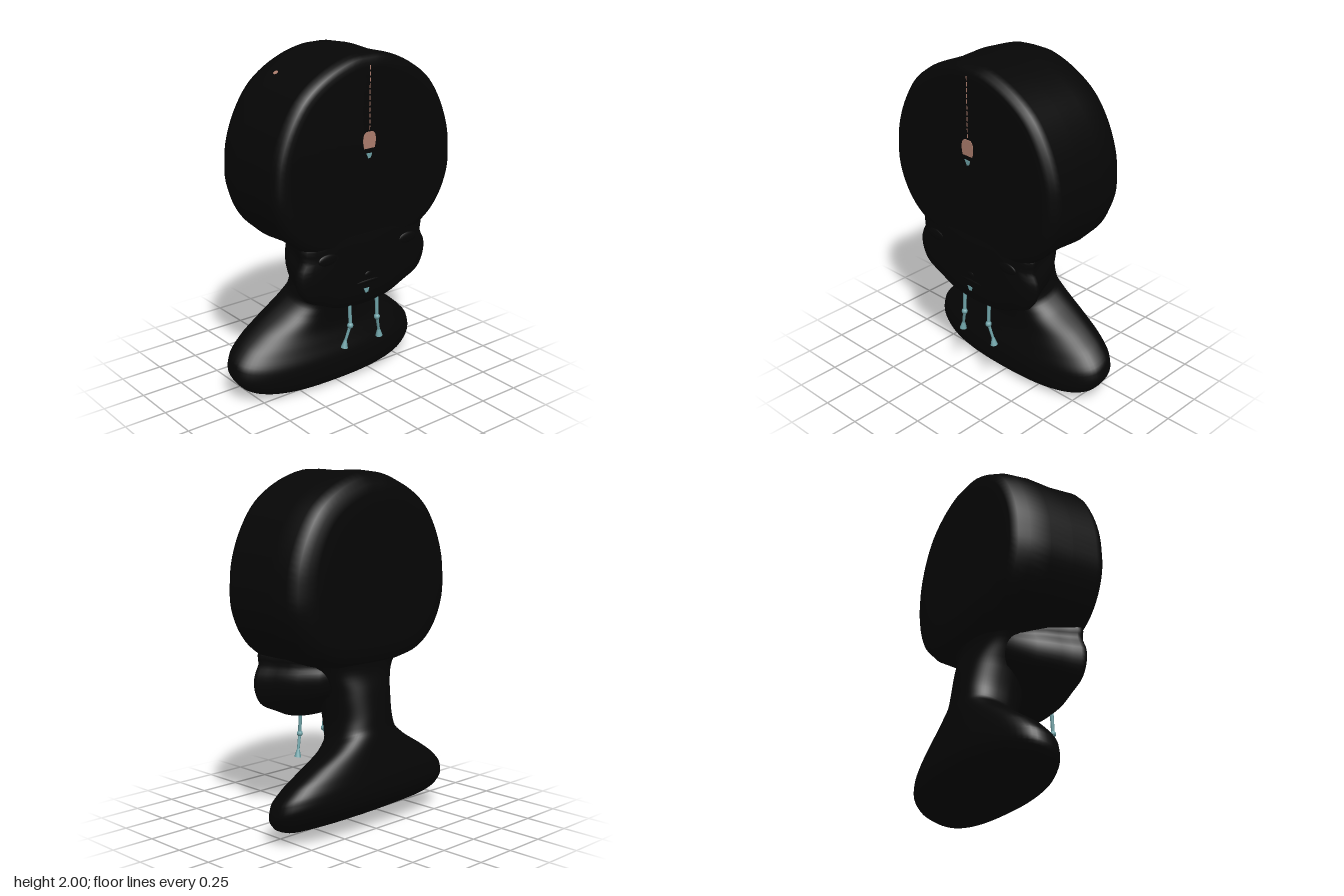
import * as THREE from 'three';

const material = (name, color, side = THREE.FrontSide) => {
  const m = new THREE.MeshStandardMaterial({ color, side });
  m.name = name;
  return m;
};

// Smooth surface over rings of equal length, each an array of [x, y, z]
function skin(rings) {
  const seg = rings[0].length, index = [];
  for (let j = 0; j < rings.length - 1; j++) {
    for (let i = 0; i < seg; i++) {
      const k = j * seg + i, n = j * seg + (i + 1) % seg;
      index.push(k, k + seg, n, n, k + seg, n + seg);
    }
  }
  const geo = new THREE.BufferGeometry();
  geo.setAttribute('position', new THREE.Float32BufferAttribute(rings.flat(2), 3));
  geo.setIndex(index);
  geo.computeVertexNormals();
  return geo;
}

// Cushion from the right half of a front outline, scaled about pivotY by stages of [z, scale]
function cushion(half, pivotY, stages) {
  const left = half.filter(p => p[0] > 0).reverse().map(([x, y]) => [-x, y]);
  const curve = new THREE.CatmullRomCurve3(
    [...half, ...left].map(([x, y]) => new THREE.Vector3(x, y, 0)), true);
  const outline = curve.getSpacedPoints(88).slice(0, -1);
  return skin(stages.map(([z, s]) => outline.map(p => [p.x * s, pivotY + (p.y - pivotY) * s, z])));
}

// Loft through tilted oval rings: [half width, front z, front y, back z, back y]
function loft(rings, seg = 64, steps = 60) {
  const side = new THREE.CatmullRomCurve3(rings.map(r => new THREE.Vector3(r[0], 0, 0)));
  const front = new THREE.CatmullRomCurve3(rings.map(r => new THREE.Vector3(0, r[2], r[1])));
  const back = new THREE.CatmullRomCurve3(rings.map(r => new THREE.Vector3(0, r[4], r[3])));
  const full = v => Math.sign(v) * Math.abs(v) ** 0.82;
  return skin(Array.from({ length: steps + 1 }, (_, j) => {
    const w = side.getPoint(j / steps).x, f = front.getPoint(j / steps), b = back.getPoint(j / steps);
    return Array.from({ length: seg }, (_, i) => {
      const a = (i / seg) * Math.PI * 2;
      const p = b.clone().lerp(f, (1 + full(Math.sin(a))) / 2);
      return [w * full(Math.cos(a)), p.y, p.z];
    });
  }));
}

export function createModel() {
  const model = new THREE.Group();
  const black = material('black', 0x060606);
  const blackTwoSided = material('black body', 0x060606, THREE.DoubleSide);
  const teal = material('teal', 0x6fa3a8);
  const pink = material('dusty pink', 0xb08070);

  const add = (name, geo, mat, x = 0, y = 0, z = 0, parent = model) => {
    const mesh = new THREE.Mesh(geo, mat);
    mesh.name = name;
    mesh.position.set(x, y, z);
    parent.add(mesh);
    return mesh;
  };
  // Rod between two points, with a radius at each end
  const rod = (name, a, b, ra, rb, mat, parent) => {
    const from = new THREE.Vector3(...a), to = new THREE.Vector3(...b);
    const mesh = add(name, new THREE.CylinderGeometry(rb, ra, from.distanceTo(to), 10), mat, 0, 0, 0, parent);
    mesh.position.lerpVectors(from, to, 0.5);
    mesh.quaternion.setFromUnitVectors(new THREE.Vector3(0, 1, 0), to.sub(from).normalize());
  };

  // Deep round head: softly rounded back, slight waist, crisper front rim
  add('head', cushion([
    [0, 2.0], [0.1, 1.995], [0.28, 1.93], [0.43, 1.825], [0.53, 1.68], [0.59, 1.52], [0.605, 1.4],
    [0.602, 1.27], [0.55, 1.13], [0.46, 1.02], [0.33, 0.95], [0, 0.92],
  ], 1.5, [
    [-0.27, 0], [-0.27, 0.6], [-0.268, 0.76], [-0.257, 0.86], [-0.23, 0.935], [-0.17, 0.98], [-0.05, 1],
    [0.1, 0.985], [0.25, 1], [0.282, 0.985], [0.304, 0.955], [0.315, 0.91], [0.316, 0.86], [0.316, 0],
  ]), black);

  // Cheeks and chin, tapering back into the neck
  add('lowerFace', cushion([
    [0, 1.08], [0.34, 1.06], [0.42, 0.99], [0.415, 0.93], [0.447, 0.86], [0.445, 0.78],
    [0.4, 0.7], [0.29, 0.645], [0.18, 0.6], [0, 0.58],
  ], 0.95, [
    [-0.14, 0], [-0.13, 0.4], [-0.08, 0.62], [0.02, 0.78], [0.08, 0.85], [0.14, 0.895], [0.2, 0.945],
    [0.24, 0.99], [0.265, 1], [0.288, 0.95], [0.304, 0.83], [0.313, 0.68], [0.317, 0.5], [0.317, 0],
  ]), black);

  // Neck flowing into the blunt shoulders, with a slanting underside
  add('neckAndShoulders', loft([
    [0.0, -0.1, 0.048, -0.11, 0.053],
    [0.25, -0.03, 0.008, -0.16, 0.08],
    [0.48, 0.02, 0.003, -0.22, 0.115],
    [0.595, 0.07, 0.04, -0.29, 0.17],
    [0.64, 0.09, 0.11, -0.32, 0.24],
    [0.625, 0.09, 0.19, -0.322, 0.3],
    [0.55, 0.065, 0.275, -0.315, 0.37],
    [0.42, 0.042, 0.36, -0.305, 0.45],
    [0.28, 0.042, 0.43, -0.295, 0.53],
    [0.2, 0.055, 0.5, -0.285, 0.59],
    [0.185, 0.085, 0.6, -0.275, 0.67],
    [0.2, 0.1, 0.74, -0.25, 0.8],
    [0.25, 0.1, 0.88, -0.215, 0.91],
    [0.33, 0.1, 1.0, -0.22, 1.02],
  ]), blackTwoSided);

  // Faint closed eyes, nose and mouth
  const bump = new THREE.SphereGeometry(1, 20, 12);
  for (const s of [-1, 1]) add('eyelid', bump, black, s * 0.28, 0.925, 0.312).scale.set(0.065, 0.032, 0.012);
  add('nose', bump, black, 0, 0.775, 0.312).scale.set(0.03, 0.02, 0.01);
  add('mouth', bump, black, 0, 0.733, 0.308).scale.set(0.1, 0.012, 0.012);

  // Forehead ornament: broken thread, oval gem and small drop
  for (let i = 0; i < 11; i++) {
    add('forelockThread', new THREE.BoxGeometry(0.005, 0.022, 0.004), pink, -0.005, 1.61 + i * 0.032, 0.316);
  }
  const gem = new THREE.Shape();
  gem.moveTo(-0.036, -0.045);
  gem.lineTo(0.034, -0.045);
  gem.bezierCurveTo(0.048, 0, 0.042, 0.045, 0.015, 0.046);
  gem.lineTo(-0.015, 0.046);
  gem.bezierCurveTo(-0.044, 0.045, -0.05, 0, -0.036, -0.045);
  add('foreheadGem', new THREE.ExtrudeGeometry(gem, { depth: 0.008, bevelEnabled: false }), pink, -0.005, 1.542, 0.311);

  const drop = new THREE.Shape();
  drop.moveTo(-0.02, 0.014);
  drop.lineTo(-0.004, -0.016);
  drop.lineTo(0.012, -0.012);
  drop.lineTo(0.02, 0.012);
  const dropGeo = new THREE.ExtrudeGeometry(drop, { depth: 0.008, bevelEnabled: false });
  add('foreheadDrop', dropGeo, teal, -0.008, 1.457, 0.311);
  add('lipDrop', dropGeo, teal, -0.012, 0.68, 0.306);

  // Small spot on the crown
  const spot = add('crownSpot', new THREE.CylinderGeometry(0.014, 0.014, 0.008, 12), pink, -0.35, 1.886, -0.04);
  spot.rotation.z = 0.6;

  // Hanging pendants under the chin
  for (const s of [-1, 1]) {
    const pendant = new THREE.Group();
    pendant.name = 'pendant';
    const x = s * 0.097;
    rod('upperCord', [x, 0.62, 0.27], [x, 0.48, 0.277], 0.011, 0.01, teal, pendant);
    add('bead', new THREE.SphereGeometry(0.018, 12, 8), teal, x, 0.475, 0.277, pendant);
    rod('lowerCord', [x, 0.475, 0.277], [s * 0.122, 0.38, 0.265], 0.009, 0.008, teal, pendant);
    rod('tassel', [s * 0.127, 0.342, 0.263], [s * 0.121, 0.388, 0.265], 0.021, 0.008, teal, pendant);
    model.add(pendant);
  }
  return model;
}
